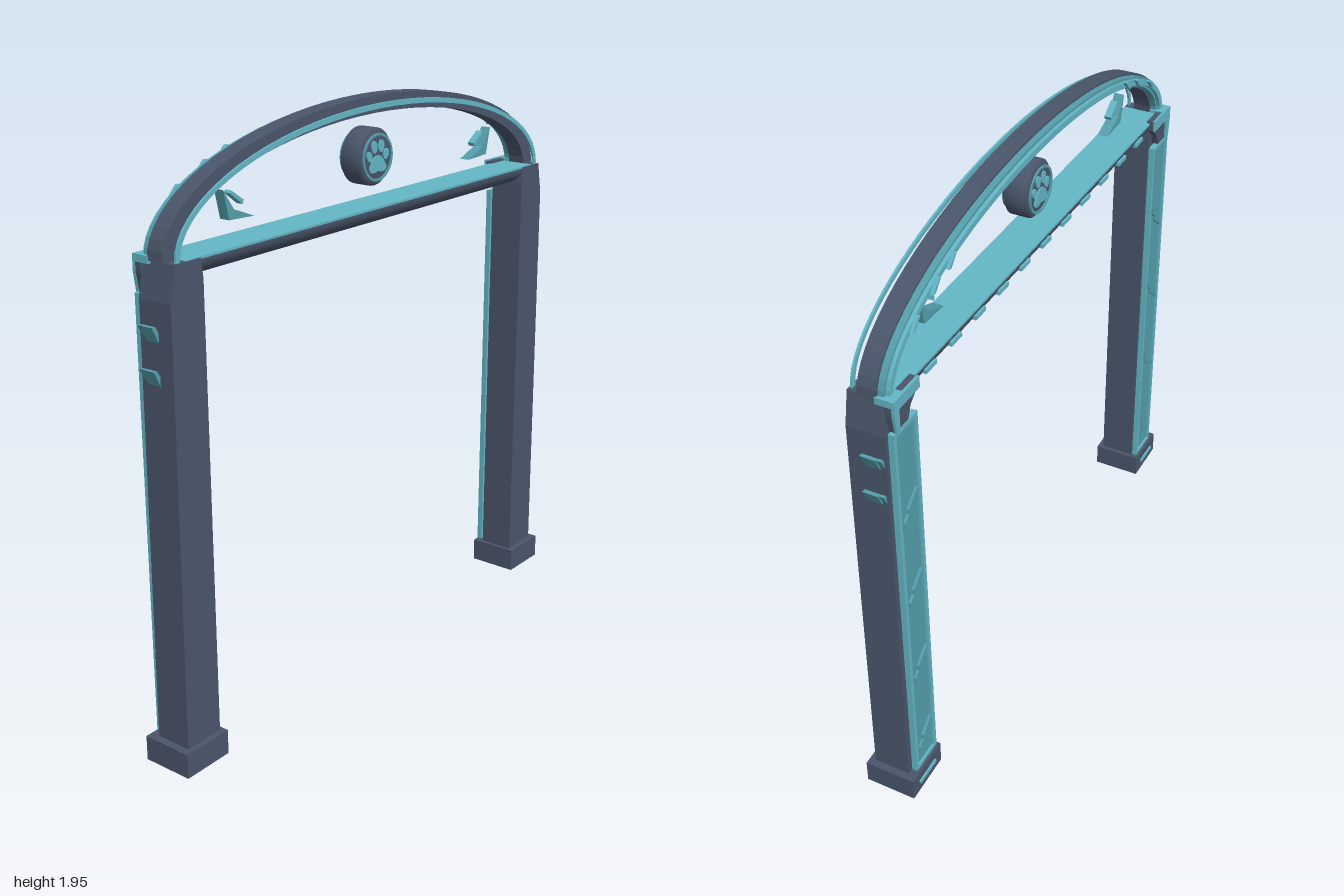
import * as THREE from 'three';

const mat = (name, color, side = THREE.FrontSide) => {
  const m = new THREE.MeshStandardMaterial({ color, side });
  m.name = name;
  return m;
};

export function createModel() {
  const slate = mat('slate', 0x4a566b);
  const glow = mat('light teal', 0x64b6c6);
  const panel = mat('panel teal', 0x559fac);
  const root = new THREE.Group();

  const add = (name, geo, m, parent = root) => {
    const mesh = new THREE.Mesh(geo, m);
    mesh.name = name;
    parent.add(mesh);
    return mesh;
  };
  const extrude = (shape, z0, z1) =>
    new THREE.ExtrudeGeometry(shape, { depth: z1 - z0, bevelEnabled: false, curveSegments: 20 }).translate(0, 0, z0);
  // Polygon in x,y (x multiplied by s for mirroring) pulled along z
  const slab = (name, pts, z0, z1, m, parent, s = 1) =>
    add(name, extrude(new THREE.Shape(pts.map(([x, y]) => new THREE.Vector2(x * s, y))), z0, z1), m, parent);
  const rect = (x0, y0, x1, y1) => [[x0, y0], [x1, y0], [x1, y1], [x0, y1]];

  // Half-elliptical band standing on the beam
  const archBand = (name, outset, inset, z0, z1, m) => {
    const pts = [], n = 36;
    for (let i = 0; i <= n; i++) {
      const t = Math.PI * i / n;
      pts.push([(0.955 - outset) * Math.cos(t), 1.6 + (0.35 - outset) * Math.sin(t)]);
    }
    for (let i = n; i >= 0; i--) {
      const t = Math.PI * i / n;
      pts.push([(0.955 - inset) * Math.cos(t), 1.6 + (0.35 - inset) * Math.sin(t)]);
    }
    return slab(name, pts, z0, z1, m, root);
  };
  archBand('arch', 0, 0.055, -0.03, 0.03, slate);
  archBand('archFrontLight', 0.019, 0.036, 0.056, 0.063, glow);
  archBand('archBackTrim', 0.008, 0.047, -0.05, -0.03, panel);
  archBand('archBackLight', 0.017, 0.038, -0.062, -0.05, glow);

  // Cross beam: rounded underside with a flat teal top
  const beam = new THREE.Shape();
  beam.moveTo(-0.063, 1.596);
  beam.absellipse(0, 1.596, 0.063, 0.056, Math.PI, Math.PI * 2, false);
  beam.closePath();
  add('beam', extrude(beam, -0.85, 0.85).rotateY(Math.PI / 2), slate);
  add('beamTop', new THREE.BoxGeometry(1.8, 0.007, 0.13).translate(0, 1.599, 0), glow);
  for (let i = -5; i <= 5; i++)
    slab('beamDash', rect(i * 0.145 - 0.03, 1.568, i * 0.145 + 0.03, 1.582), -0.069, -0.055, glow);

  for (const s of [1, -1]) {
    const side = new THREE.Group();
    side.name = s > 0 ? 'leftPost' : 'rightPost';
    root.add(side);
    const part = (name, pts, z0, z1, m) => slab(name, pts, z0, z1, m, side, s);

    part('base', rect(0.82, 0, 1, 0.083), -0.088, 0.088, slate);
    part('baseLight', rect(0.86, 0.035, 0.96, 0.048), -0.094, -0.087, glow);
    part('post', [[0.834, 0.08], [0.975, 0.08], [0.966, 1.49], [0.945, 1.6], [0.842, 1.6], [0.834, 1.54]],
      -0.057, 0.068, slate);

    // Back panel with raised rim
    part('backPanel', rect(0.838, 0.09, 0.955, 1.49), -0.074, -0.064, panel);
    part('panelRim', rect(0.832, 0.09, 0.846, 1.5), -0.081, -0.062, glow);
    part('panelRim', rect(0.945, 0.09, 0.959, 1.5), -0.081, -0.062, glow);
    part('panelRim', rect(0.846, 0.09, 0.945, 0.104), -0.081, -0.062, glow);
    part('panelRim', rect(0.846, 1.486, 0.945, 1.5), -0.081, -0.062, glow);

    // Paired slashes up the panel
    for (const y of [0.21, 0.54, 0.87, 1.19])
      for (const [dx, dy] of [[-0.011, 0.018], [0.011, -0.018]])
        part('panelSlash', [[0.868 + dx, y + 0.035 + dy], [0.868 + dx, y + 0.012 + dy],
          [0.922 + dx, y - 0.035 + dy], [0.922 + dx, y - 0.012 + dy]], -0.083, -0.072, panel);

    // Corner bracket between post, beam and arch
    part('cornerBracket', [[0.82, 1.575], [0.86, 1.54], [0.875, 1.5], [0.945, 1.5], [0.955, 1.56],
      [0.955, 1.61], [0.82, 1.61]], -0.078, -0.055, slate);
    part('bracketTrim', [[0.82, 1.575], [0.93, 1.575], [0.93, 1.5], [0.948, 1.5], [0.957, 1.56],
      [0.957, 1.613], [0.82, 1.613]], -0.086, -0.077, glow);
    part('bracketTop', rect(0.9, 1.59, 0.957, 1.613), -0.078, -0.025, glow);

    // Small fins on the outer face
    for (const y of [1.42, 1.29]) {
      part('sideFin', [[0.962, y - 0.028], [0.966, y - 0.052], [0.991, y], [0.978, y]], -0.035, 0.015, panel);
      part('sideFin', [[0.962, y - 0.02], [0.966, y - 0.04], [0.985, y - 0.003], [0.974, y - 0.003]],
        -0.05, -0.035, panel);
    }

    // Floating accents under the arch
    part('cornerAccent', [[0.69, 1.76], [0.668, 1.668], [0.56, 1.663], [0.647, 1.697]], -0.018, 0.018, panel);
    part('accentBar', [[0.656, 1.744], [0.65, 1.752], [0.597, 1.716], [0.603, 1.704]], -0.012, 0.012, glow);

    // Slashes on the back of the arch
    for (const x of [0.595, 0.685, 0.8]) {
      const y = 1.6 + 0.3225 * Math.sqrt(1 - (x / 0.9275) ** 2);
      part('archSlash', [[x - 0.022, y + 0.018], [x - 0.01, y + 0.018], [x + 0.022, y - 0.016], [x + 0.008, y - 0.016]],
        -0.074, -0.06, glow);
    }
  }

  // Round medallion with a paw on both faces
  const medal = new THREE.Group();
  medal.name = 'medallion';
  medal.position.y = 1.757;
  root.add(medal);
  const profile = [[0, -0.043], [0.078, -0.043], [0.093, -0.03], [0.093, 0.03], [0.078, 0.043], [0, 0.043]];
  const disc = new THREE.LatheGeometry(profile.map(([r, y]) => new THREE.Vector2(r, y)), 32);
  add('medallionBody', disc.rotateX(Math.PI / 2), slate, medal);
  const ring = new THREE.Shape().absarc(0, 0, 0.077, 0, Math.PI * 2);
  ring.holes.push(new THREE.Path().absarc(0, 0, 0.069, 0, Math.PI * 2));
  const oval = (x, y, rx, ry, tilt) => new THREE.Shape().absellipse(x, y, rx, ry, 0, Math.PI * 2, false, tilt);
  const pad = new THREE.Shape();
  pad.moveTo(0, 0.006);
  pad.bezierCurveTo(0.024, 0.006, 0.03, -0.016, 0.042, -0.028);
  pad.bezierCurveTo(0.05, -0.05, 0.02, -0.052, 0, -0.043);
  pad.bezierCurveTo(-0.02, -0.052, -0.05, -0.05, -0.042, -0.028);
  pad.bezierCurveTo(-0.03, -0.016, -0.024, 0.006, 0, 0.006);
  for (const [z0, z1] of [[0.041, 0.048], [-0.048, -0.041]]) {
    add('medallionRing', extrude(ring, z0, z1), panel, medal);
    add('pawPad', extrude(pad, z0, z1), glow, medal);
    for (const s of [1, -1]) {
      add('pawToe', extrude(oval(s * 0.043, 0.006, 0.013, 0.018, -s * 0.4), z0, z1), glow, medal);
      add('pawToe', extrude(oval(s * 0.018, 0.034, 0.014, 0.02, -s * 0.1), z0, z1), glow, medal);
    }
  }
  return root;
}
